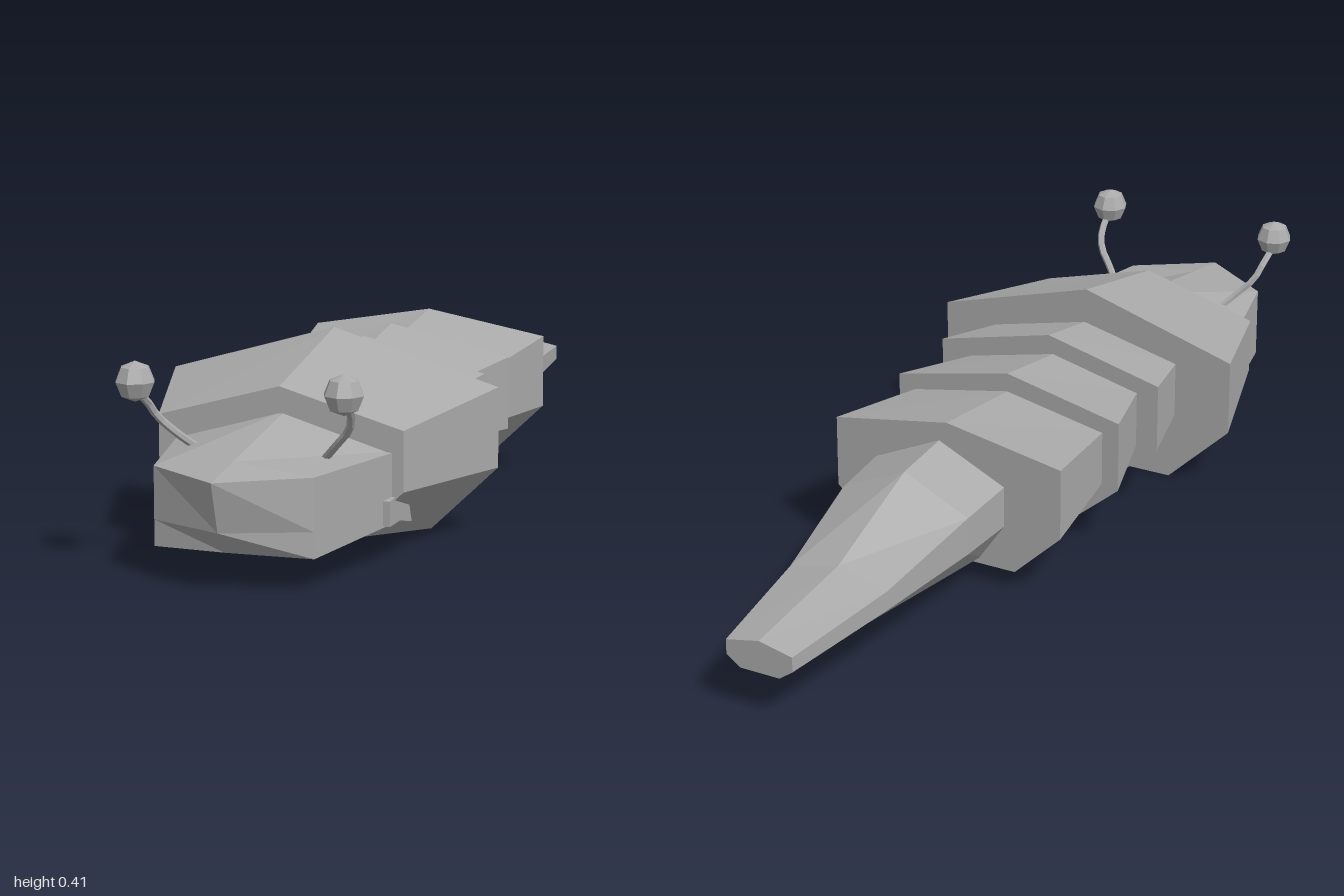
import * as THREE from 'three';

const shellGrey = new THREE.MeshStandardMaterial({ color: 0xaaaaaa, flatShading: true });
shellGrey.name = 'shellGrey';

// Faceted solid through rings ordered front to back; each ring lists its +x half from top to bottom.
function loft(name, rings, cx = 0) {
  const pos = [];
  const loops = rings.map((half) => {
    const pts = half.map(([x, y, z]) => new THREE.Vector3(x, y, z));
    const mirrored = pts.slice(1, -1).reverse().map((p) => new THREE.Vector3(-p.x, p.y, p.z));
    return [...pts, ...mirrored];
  });
  const tri = (a, b, c) => {
    const area = b.clone().sub(a).cross(c.clone().sub(a)).length();
    if (area > 1e-7) for (const p of [a, b, c]) pos.push(p.x + cx, p.y, p.z);
  };
  const n = loops[0].length;
  const middle = (loop) => loop.reduce((s, p) => s.add(p), new THREE.Vector3()).divideScalar(n);
  const first = loops[0], last = loops[loops.length - 1];
  const frontMid = middle(first), backMid = middle(last);
  for (let i = 0; i < n; i++) {
    const j = (i + 1) % n;
    for (let r = 0; r + 1 < loops.length; r++) {
      const p = loops[r], q = loops[r + 1];
      tri(p[i], p[j], q[j]);
      tri(p[i], q[j], q[i]);
    }
    tri(frontMid, first[j], first[i]);
    tri(backMid, last[i], last[j]);
  }
  const geometry = new THREE.BufferGeometry();
  geometry.setAttribute('position', new THREE.Float32BufferAttribute(pos, 3));
  geometry.computeVertexNormals();
  const mesh = new THREE.Mesh(geometry, shellGrey);
  mesh.name = name;
  return mesh;
}

// Ridged section: roof peak, shoulders, upright flanks and a narrower flat belly
const section = (z, peak, shoulder, flank, belly, w, bw = w * 0.6) =>
  [[0, peak, z], [w, shoulder, z], [w, flank, z], [bw, belly, z], [0, belly, z]];

function antenna(side) {
  const group = new THREE.Group();
  group.name = side > 0 ? 'leftAntenna' : 'rightAntenna';
  const path = [[0.13, 0.225, 0.74], [0.165, 0.26, 0.77], [0.197, 0.295, 0.79], [0.208, 0.325, 0.81], [0.213, 0.35, 0.845]];
  const curve = new THREE.CatmullRomCurve3(path.map(([x, y, z]) => new THREE.Vector3(x * side + 0.007, y, z)));
  const stalk = new THREE.Mesh(new THREE.TubeGeometry(curve, 8, 0.008, 6), shellGrey);
  stalk.name = 'stalk';
  const knob = new THREE.Mesh(new THREE.SphereGeometry(0.04, 8, 4), shellGrey);
  knob.name = 'knob';
  knob.position.set(0.212 * side + 0.007, 0.375, 0.86);
  group.add(stalk, knob);
  return group;
}

// Small hooked plate at each rear corner of the jaw
function jawHook(side) {
  const outline = [[0.66, 0.13], [0.63, 0.133], [0.545, 0.1], [0.53, 0.063], [0.6, 0.08], [0.66, 0.08]];
  const shape = new THREE.Shape(outline.map(([z, y]) => new THREE.Vector2(-z, y)));
  const geometry = new THREE.ExtrudeGeometry(shape, { depth: 0.045, bevelEnabled: false });
  geometry.rotateY(Math.PI / 2);
  geometry.translate(side > 0 ? 0.195 : -0.223, 0, 0);
  const mesh = new THREE.Mesh(geometry, shellGrey);
  mesh.name = side > 0 ? 'leftJawHook' : 'rightJawHook';
  return mesh;
}

export function createModel() {
  const model = new THREE.Group();
  model.name = 'segmentedCrawler';

  // Wedge-nosed head
  model.add(loft('head', [
    [[0, 0.22, 1], [0, 0.22, 1], [0, 0.118, 0.97], [0, 0.073, 0.935], [0, 0.073, 0.935]],
    [[0, 0.239, 0.89], [0.163, 0.22, 0.89], [0.163, 0.115, 0.89], [0.163, 0.063, 0.89], [0, 0.07, 0.89]],
    [[0, 0.287, 0.61], [0.231, 0.22, 0.61], [0.231, 0.13, 0.61], [0.231, 0.08, 0.61], [0, 0.08, 0.61]],
  ], 0.007));

  // Overlapping body plates, each flaring toward the rear
  model.add(loft('neckPlate', [
    section(0.63, 0.337, 0.265, 0.143, 0.045, 0.257, 0.155),
    section(0.32, 0.405, 0.302, 0.137, 0, 0.352, 0.21),
  ]));
  model.add(loft('frontPlate', [
    section(0.33, 0.325, 0.272, 0.15, 0.076, 0.222),
    section(0.152, 0.36, 0.295, 0.145, 0.058, 0.265),
  ], 0.003));
  model.add(loft('middlePlate', [
    section(0.165, 0.315, 0.268, 0.145, 0.076, 0.2),
    section(-0.053, 0.353, 0.295, 0.14, 0.05, 0.265),
  ], -0.008));
  model.add(loft('rearPlate', [
    section(-0.04, 0.31, 0.265, 0.148, 0.068, 0.225),
    section(-0.31, 0.345, 0.298, 0.142, 0.04, 0.265),
  ], -0.008));

  // Tapering tail
  model.add(loft('tail', [
    section(-0.3, 0.302, 0.23, 0.14, 0.05, 0.153),
    section(-0.45, 0.29, 0.22, 0.138, 0.067, 0.147),
    section(-0.71, 0.195, 0.167, 0.125, 0.085, 0.112),
    section(-1, 0.168, 0.152, 0.12, 0.098, 0.075),
  ], 0.01));

  for (const side of [1, -1]) model.add(jawHook(side), antenna(side));
  return model;
}
